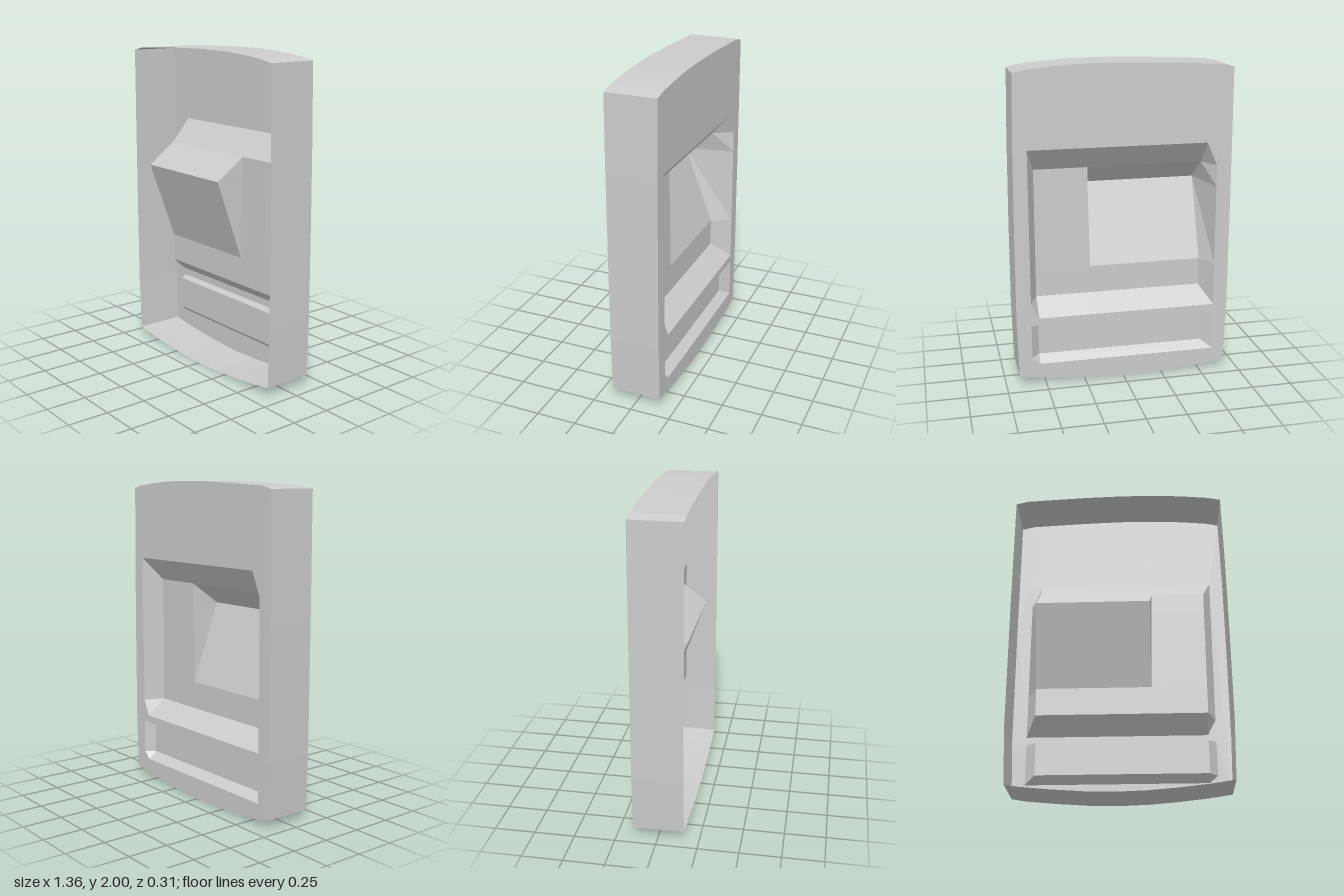
import * as THREE from 'three';

const BACK = -0.157, FRONT = 0.157;   // plate plane and open rim
const FLOOR = -0.03, PEAK = 0.155;    // recess floor and ridge of the bulge
const SLOT = -0.1;                    // floor of the lower slot

const material = new THREE.MeshStandardMaterial({
  color: 0xcccccc, flatShading: true, side: THREE.DoubleSide,
});

function part(name, geometry) {
  const mesh = new THREE.Mesh(geometry, material);
  mesh.name = name;
  return mesh;
}

// Faceted sheet through rows of [x, y, z] points
function loft(rows) {
  const pos = [];
  for (let r = 0; r < rows.length - 1; r++) {
    for (let c = 0; c < rows[r].length - 1; c++) {
      const a = rows[r][c], b = rows[r + 1][c];
      const d = rows[r][c + 1], e = rows[r + 1][c + 1];
      pos.push(...a, ...b, ...d, ...d, ...b, ...e);
    }
  }
  const g = new THREE.BufferGeometry();
  g.setAttribute('position', new THREE.Float32BufferAttribute(pos, 3));
  g.computeVertexNormals();
  return g;
}

// Rectangular opening in the plate
function opening(y0, y1) {
  return new THREE.Path([[-0.59, y0], [-0.59, y1], [0.585, y1], [0.585, y0]]
    .map(([x, y]) => new THREE.Vector2(x, y)));
}

export function createModel() {
  const group = new THREE.Group();
  group.name = 'panelHousing';

  // Slightly bowed outline, counter-clockwise
  const outline = [
    [-0.665, 0.05], [-0.58, 0.035], [-0.4, 0.018], [-0.2, 0.004], [0, 0],
    [0.17, 0.006], [0.34, 0.02], [0.52, 0.04], [0.668, 0.062],
    [0.677, 0.42], [0.675, 1.0], [0.67, 1.5], [0.66, 1.955],
    [0.58, 1.972], [0.44, 1.986], [0.3, 1.996], [0.15, 2], [0, 2],
    [-0.2, 1.995], [-0.4, 1.986], [-0.6, 1.976], [-0.68, 1.958],
    [-0.682, 1.2], [-0.68, 0.4],
  ];

  // Back plate with two openings
  const shape = new THREE.Shape(outline.map(([x, y]) => new THREE.Vector2(x, y)));
  shape.holes.push(opening(0.44, 1.5), opening(0.135, 0.395));
  group.add(part('backPlate', new THREE.ShapeGeometry(shape).translate(0, 0, BACK)));

  // Thin wall around the plate, open at the front
  const loop = [...outline, outline[0]];
  group.add(part('outerWall', loft(
    [FRONT, BACK].map((z) => loop.map(([x, y]) => [x, y, z])))));

  // Main recess: sloped sides, flat floor and a wedge-shaped bulge on one side
  const xs = [-0.59, -0.525, 0.19, 0.2, 0.535, 0.585];
  const recess = [ // y, z under the bulge, z of the floor
    [1.5, BACK, BACK], [1.355, FLOOR, FLOOR], [1.22, PEAK, FLOOR],
    [0.715, FLOOR, FLOOR], [0.54, FLOOR, FLOOR], [0.44, BACK, BACK],
  ];
  group.add(part('mainRecess', loft(recess.map(([y, bulge, floor]) =>
    [BACK, bulge, bulge, floor, floor, BACK].map((z, i) => [xs[i], y, z])))));

  // Shallow lower slot
  const slot = [[0.395, BACK], [0.388, SLOT], [0.18, SLOT], [0.135, BACK]];
  group.add(part('lowerSlot', loft(slot.map(([y, z]) =>
    [[-0.59, y, BACK], [-0.525, y, z], [0.535, y, z], [0.585, y, BACK]]))));

  return group;
}
